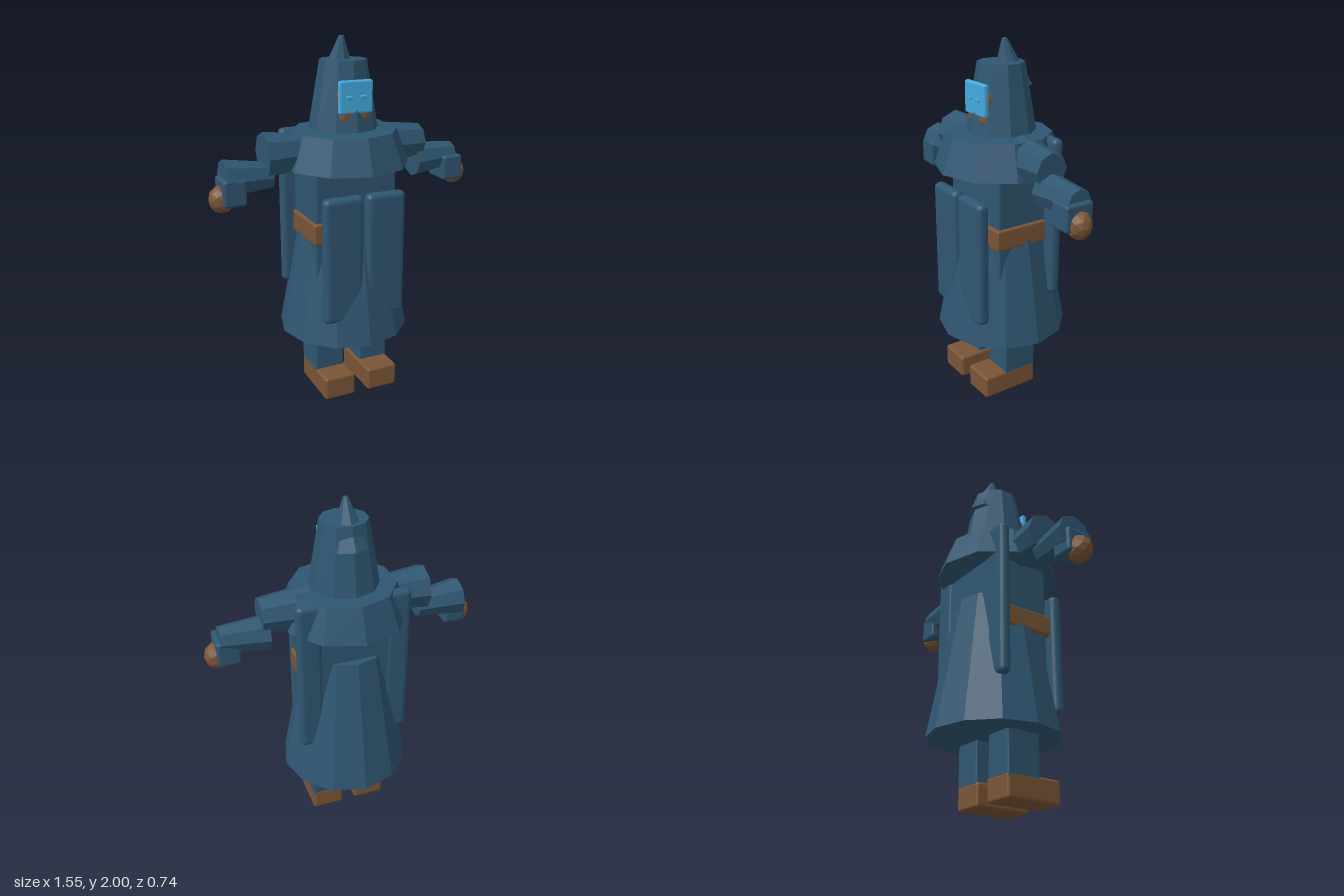
import * as THREE from 'three';
import { RoundedBoxGeometry } from 'three/addons/geometries/RoundedBoxGeometry.js';

function material(name, color, flatShading = false) {
  const m = new THREE.MeshStandardMaterial({ color, flatShading });
  m.name = name;
  return m;
}

export function createModel() {
  const group = new THREE.Group();
  const cloth = material('slate blue cloth', 0x2f5671, true);
  const leather = material('brown leather', 0x7a5536, true);
  const maskBlue = material('bright blue mask', 0x45abdf, true);

  function add(name, geometry, mat, x, y, z) {
    const mesh = new THREE.Mesh(geometry, mat);
    mesh.name = name;
    mesh.position.set(x, y, z);
    group.add(mesh);
    return mesh;
  }

  // Box given by its min and max corners, with optional rounded edges
  function box(name, mat, [x0, y0, z0], [x1, y1, z1], radius = 0) {
    const size = [x1 - x0, y1 - y0, z1 - z0];
    const geometry = radius
      ? new RoundedBoxGeometry(...size, 3, radius)
      : new THREE.BoxGeometry(...size);
    return add(name, geometry, mat, (x0 + x1) / 2, (y0 + y1) / 2, (z0 + z1) / 2);
  }

  // Upright faceted frustum between two heights
  function frustum(name, mat, rTop, rBottom, y0, y1, z, sides) {
    return add(name, new THREE.CylinderGeometry(rTop, rBottom, y1 - y0, sides), mat, 0, (y0 + y1) / 2, z);
  }

  // Faceted sleeve running between two points
  function sleeve(name, from, to, rFrom, rTo) {
    const a = new THREE.Vector3(...from), b = new THREE.Vector3(...to);
    const dir = b.clone().sub(a);
    const mid = a.clone().add(b).multiplyScalar(0.5);
    const mesh = add(name, new THREE.CylinderGeometry(rTo, rFrom, dir.length(), 8), cloth, mid.x, mid.y, mid.z);
    mesh.quaternion.setFromUnitVectors(new THREE.Vector3(0, 1, 0), dir.normalize());
  }

  // Body and robe
  box('torso', cloth, [-0.24, 0.65, -0.18], [0.24, 1.45, 0.175], 0.012);
  frustum('robeSkirt', cloth, 0.225, 0.37, 0.355, 1.13, -0.003, 12);
  frustum('shoulderCape', cloth, 0.29, 0.356, 1.32, 1.508, 0.015, 10);
  box('belt', leather, [-0.257, 0.92, -0.125], [0.257, 1.04, 0.195], 0.012);

  // Head, hood and mask
  frustum('neck', leather, 0.07, 0.07, 1.45, 1.56, 0, 10);
  box('head', leather, [-0.095, 1.55, -0.08], [0.095, 1.75, 0.165], 0.04);
  frustum('hood', cloth, 0.128, 0.19, 1.515, 1.88, 0, 10);
  const tip = add('hoodTip', new THREE.CylinderGeometry(0.014, 0.115, 0.26, 8), cloth, 0, 1.87, -0.043);
  tip.rotation.x = 0.17;
  box('mask', maskBlue, [-0.097, 1.612, 0.138], [0.097, 1.787, 0.17], 0.012);

  for (const s of [-1, 1]) {
    const side = s > 0 ? 'left' : 'right';
    const span = (a, b) => (s > 0 ? [a, b] : [-b, -a]);
    const pair = (name, mat, [x0, x1], [y0, y1], [z0, z1], r) => {
      const [a, b] = span(x0, x1);
      box(side + name, mat, [a, y0, z0], [b, y1, z1], r);
    };

    pair('Eye', maskBlue, [0.022, 0.058], [1.69, 1.71], [0.165, 0.18], 0.006);

    // Robe panels on front and back
    pair('FrontPanel', cloth, [0.01, 0.24], [0.49, 1.2], [0.23, 0.3], 0.03);
    pair('BackPanel', cloth, [0.18, 0.32], [0.605, 1.505], [-0.187, -0.122], 0.03);

    // Legs and boots
    pair('Leg', cloth, [0.052, 0.225], [0.1, 0.65], [-0.083, 0.122], 0.01);
    pair('Boot', leather, [0.04, 0.226], [0, 0.133], [-0.085, 0.255], 0.016);

    // The two sleeves taper in opposite directions
    const [upperIn, upperOut] = s > 0 ? [0.123, 0.094] : [0.095, 0.124];
    const [lowerIn, lowerOut] = s > 0 ? [0.1, 0.072] : [0.072, 0.104];
    sleeve(side + 'UpperSleeve', [s * 0.2, 1.405, 0.008], [s * 0.467, 1.403, 0.008], upperIn, upperOut);
    sleeve(side + 'Forearm', [s * 0.43, 1.292, 0.008], [s * 0.69, 1.3, 0.008], lowerIn, lowerOut);

    // Cuffs and hands
    pair('Cuff', cloth, [0.59, 0.715], [1.167, 1.308], [-0.06, 0.107], 0.015);
    const hand = add(side + 'Hand', new THREE.IcosahedronGeometry(0.07, 1), leather, s * 0.705, 1.197, 0.022);
    hand.scale.set(1, 1.1, 0.95);
  }
  return group;
}
